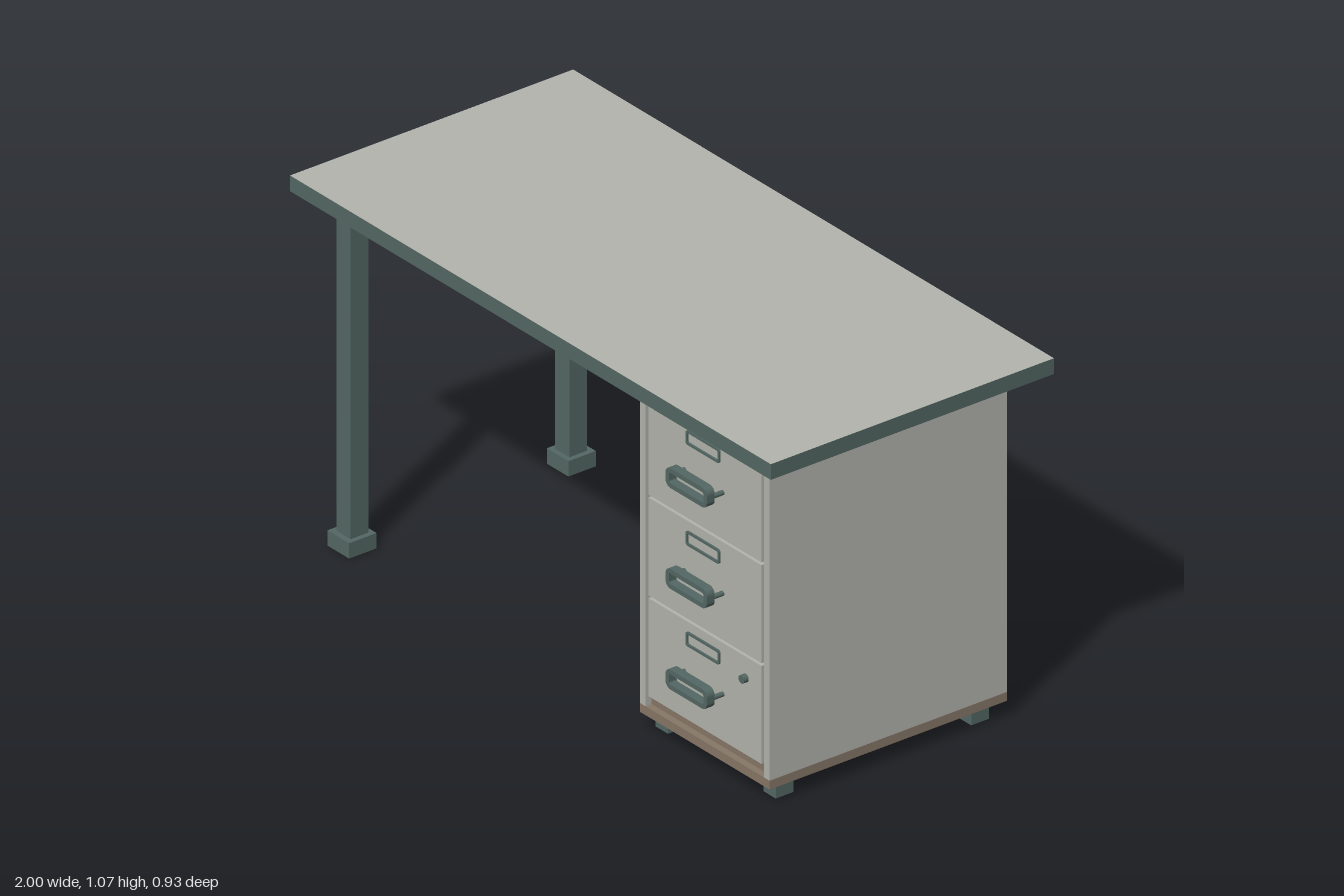
import * as THREE from 'three';

const mat = (name, color) => {
  const m = new THREE.MeshStandardMaterial({ color });
  m.name = name;
  return m;
};

export function createModel() {
  const grey = mat('light grey', 0xb4b5ae);
  const green = mat('dark green grey', 0x546864);
  const brown = mat('brown', 0x877868);

  const desk = new THREE.Group();
  desk.name = 'desk';

  // Box given by its limits on each axis
  const box = (name, material, [x0, x1], [y0, y1], [z0, z1], parent = desk) => {
    const mesh = new THREE.Mesh(new THREE.BoxGeometry(x1 - x0, y1 - y0, z1 - z0), material);
    mesh.position.set((x0 + x1) / 2, (y0 + y1) / 2, (z0 + z1) / 2);
    mesh.name = name;
    parent.add(mesh);
    return mesh;
  };

  // Rectangle with rounded corners, centred on the origin
  const roundRect = (w, h, r, Type = THREE.Shape) => {
    const s = new Type();
    const x = w / 2 - r, y = h / 2 - r;
    s.absarc(x, y, r, 0, Math.PI / 2);
    s.absarc(-x, y, r, Math.PI / 2, Math.PI);
    s.absarc(-x, -y, r, Math.PI, Math.PI * 1.5);
    s.absarc(x, -y, r, Math.PI * 1.5, Math.PI * 2);
    s.closePath();
    return s;
  };

  // Flat ring with rounded corners, extruded towards the front
  const ring = (name, w, h, r, rim, depth, x, y, z, parent) => {
    const shape = roundRect(w, h, r);
    shape.holes.push(roundRect(w - 2 * rim, h - 2 * rim, Math.max(r - rim, 0.004), THREE.Path));
    const geometry = new THREE.ExtrudeGeometry(shape, { depth, bevelEnabled: false, curveSegments: 4 });
    const mesh = new THREE.Mesh(geometry, green);
    mesh.position.set(x, y, z);
    mesh.name = name;
    parent.add(mesh);
  };

  // Top: green edge band, grey surface, brown underside
  box('tableTop', [green, green, grey, brown, green, green], [-1, 1], [1.024, 1.07], [-0.465, 0.465]);

  // Frame under the top
  box('frontRail', green, [-0.905, 0.902], [0.965, 1.024], [0.33, 0.388]);
  box('backRail', green, [-0.905, 0.902], [0.965, 1.024], [-0.388, -0.33]);
  box('sideRail', green, [-0.905, -0.845], [0.965, 1.024], [-0.33, 0.33]);
  box('modestyPanel', green, [-0.845, 0.36], [0.76, 0.9], [-0.375, -0.355]);

  // Legs with feet, and the short feet of the cabinet
  for (const s of [-1, 1]) {
    const span = (a, b) => (s > 0 ? [a, b] : [-b, -a]);
    box('leg', green, [-0.905, -0.845], [0.045, 0.965], span(0.33, 0.388));
    box('legFoot', green, [-0.92, -0.83], [0, 0.045], span(0.315, 0.405));
    for (const x of [0.375, 0.823]) {
      box('cabinetFoot', green, [x, x + 0.052], [0, 0.05], span(0.292, 0.35));
    }
  }

  // Cabinet shell
  const cabinet = new THREE.Group();
  cabinet.name = 'cabinet';
  desk.add(cabinet);
  box('cabinetBase', brown, [0.36, 0.9], [0.05, 0.076], [-0.39, 0.39], cabinet);
  box('cabinetSide', grey, [0.36, 0.384], [0.076, 1.024], [-0.39, 0.39], cabinet);
  box('cabinetSide', grey, [0.876, 0.9], [0.076, 1.024], [-0.39, 0.39], cabinet);
  box('cabinetBody', brown, [0.384, 0.876], [0.076, 0.964], [-0.384, 0.37], cabinet);
  box('cabinetBackTop', brown, [0.384, 0.876], [0.964, 1.024], [-0.3895, -0.384], cabinet);
  box('cabinetBack', brown, [0.384, 0.876], [0.076, 0.964], [-0.3895, -0.384], cabinet);
  box('cabinetTopStrip', brown, [0.384, 0.876], [1.0, 1.024], [0.38, 0.389], cabinet);

  // Three drawers with label frame, handle and slides
  [0.11, 0.405, 0.7].forEach((y, i) => {
    const drawer = new THREE.Group();
    drawer.name = 'drawer';
    cabinet.add(drawer);
    box('drawerFront', grey, [0.395, 0.865], [y, y + 0.287], [0.365, 0.389], drawer);
    ring('labelFrame', 0.14, 0.042, 0.008, 0.007, 0.006, 0.625, y + 0.239, 0.388, drawer);
    ring('handle', 0.172, 0.058, 0.02, 0.014, 0.026, 0.625, y + 0.137, 0.421, drawer);
    for (const x of [0.546, 0.704]) {
      const post = new THREE.Mesh(new THREE.CylinderGeometry(0.007, 0.007, 0.036, 12), green);
      post.rotation.x = Math.PI / 2;
      post.position.set(x, y + 0.137, 0.405);
      post.name = 'handlePost';
      drawer.add(post);
    }
    box('drawerSlide', green, [0.384, 0.395], [y + 0.11, y + 0.165], [0.36, 0.376], drawer);
    box('drawerSlide', green, [0.865, 0.876], [y + 0.11, y + 0.165], [0.36, 0.376], drawer);

    // Lock on the lowest drawer
    if (i === 0) {
      const lock = new THREE.Mesh(new THREE.CylinderGeometry(0.012, 0.012, 0.016, 16), green);
      lock.rotation.x = Math.PI / 2;
      lock.position.set(0.8, 0.335, 0.396);
      lock.name = 'lock';
      drawer.add(lock);
    }
  });

  return desk;
}
